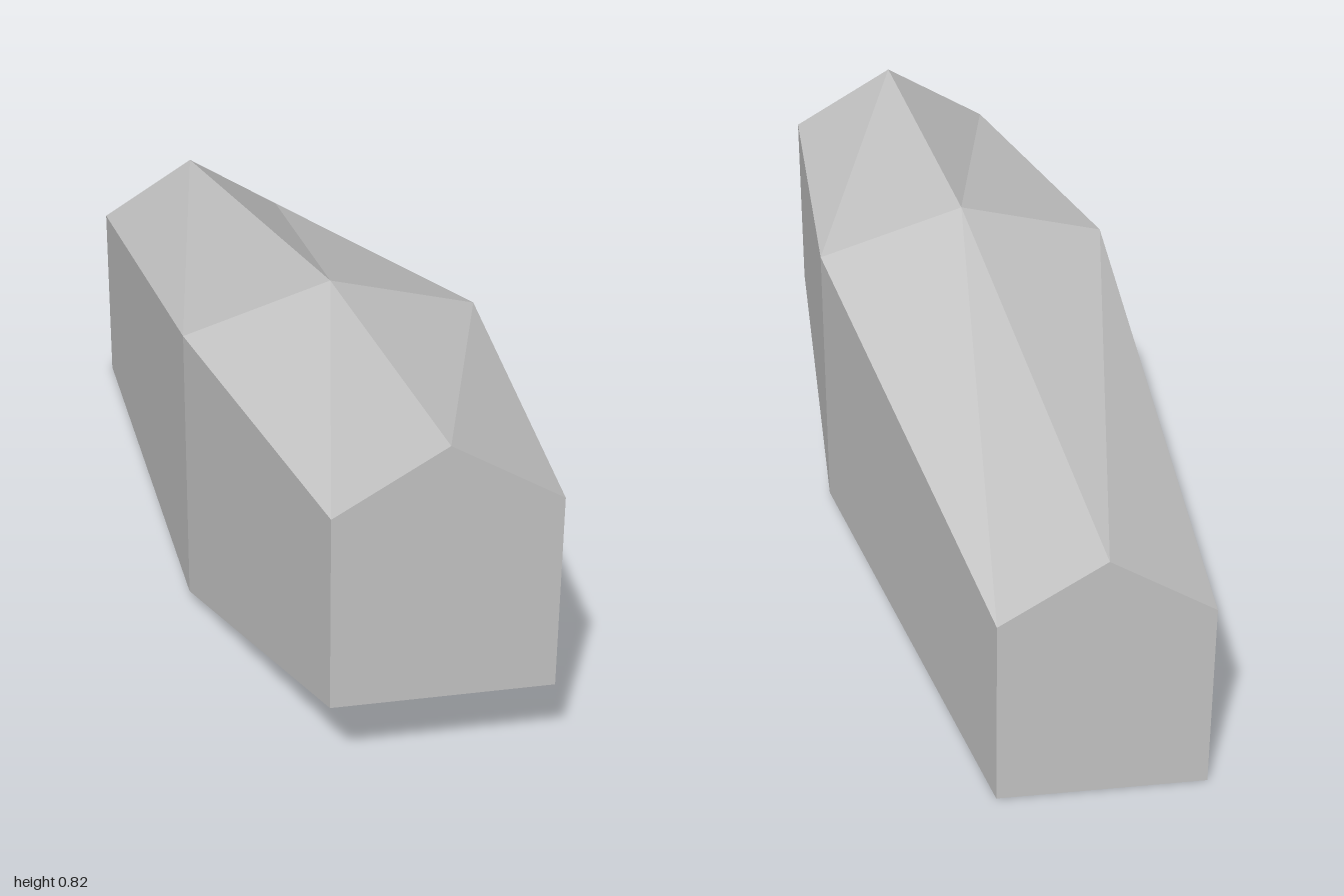
import * as THREE from 'three';

// Cross-section of the hull: floor, eaves and a ridge, counter-clockwise seen from the front.
// Left and right rims may sit at different depths.
function section({ xMin, xMax, floor, eave, ridge, zMin, zMax }) {
  const xMid = (xMin + xMax) / 2, zMid = (zMin + zMax) / 2;
  return [
    [xMin, floor, zMin],
    [xMax, floor, zMax],
    [xMax, eave, zMax],
    [xMid, ridge, zMid],
    [xMin, eave, zMin],
  ];
}

export function createModel() {
  const group = new THREE.Group();
  group.name = 'facetedBlock';
  const grey = new THREE.MeshStandardMaterial({ color: 0xc4c4c4, flatShading: true });
  grey.name = 'plain grey';

  const sections = [
    section({ xMin: -0.124, xMax: 0.37, floor: 0.2, eave: 0.668, ridge: 0.816, zMin: 1, zMax: 1 }),
    section({ xMin: -0.321, xMax: 0.37, floor: 0.027, eave: 0.717, ridge: 0.816, zMin: 0.23, zMax: 0.18 }),
    section({ xMin: -0.37, xMax: 0.1, floor: 0, eave: 0.47, ridge: 0.618, zMin: -1, zMax: -1 }),
  ];

  const addPart = (name, corners) => {
    const geometry = new THREE.BufferGeometry();
    geometry.setAttribute('position', new THREE.Float32BufferAttribute(corners.flat(), 3));
    geometry.computeVertexNormals();
    const mesh = new THREE.Mesh(geometry, grey);
    mesh.name = name;
    group.add(mesh);
  };

  // Long faces: each edge of the outline swept through the three sections
  ['underside', 'leftWall', 'leftRoof', 'rightRoof', 'rightWall'].forEach((name, i) => {
    const j = (i + 1) % 5, corners = [];
    for (let s = 0; s < 2; s++) {
      const front = sections[s], back = sections[s + 1];
      corners.push(front[i], back[i], front[j], back[i], back[j], front[j]);
    }
    addPart(name, corners);
  });

  // End caps: fans over the first and last sections
  const fan = (p, flip) => [1, 2, 3].flatMap((k) =>
    flip ? [p[0], p[k + 1], p[k]] : [p[0], p[k], p[k + 1]]);
  addPart('frontEnd', fan(sections[0], false));
  addPart('backEnd', fan(sections[2], true));

  return group;
}
